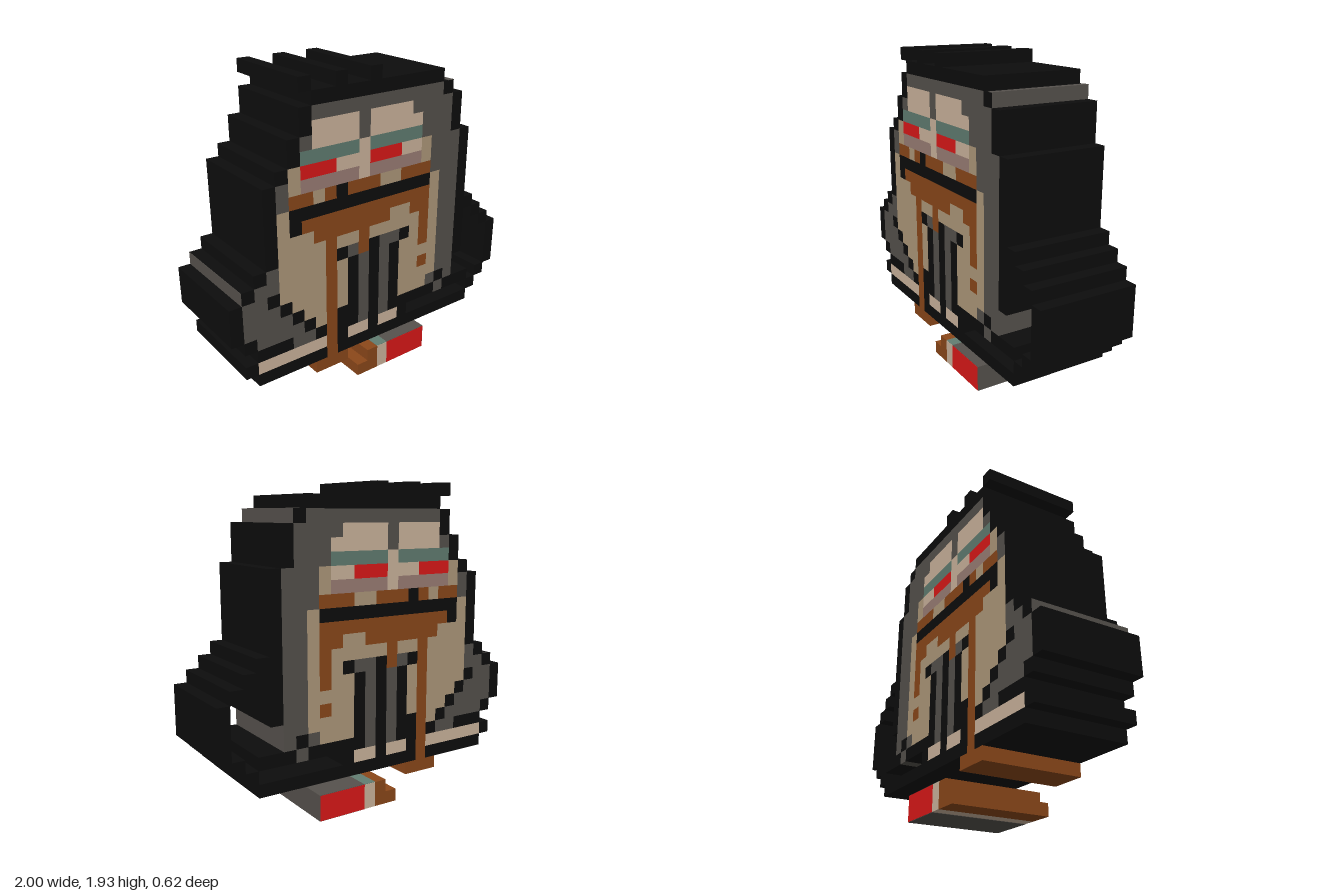
import * as THREE from 'three';
import { mergeGeometries } from 'three/addons/utils/BufferGeometryUtils.js';

const CELL = 2 / 26, DEPTH = 8 * CELL;

// One letter per block, top row first; '.' is empty.
const ROWS = [
  '......t..t..t.............',
  '.......KKKKKKKKKKKK.......',
  '......KGGGGGGGGGGGGK......',
  '......KPPPPGPPPPGGGGK.....',
  '.....KGPPPPGPPPPPGGGK.....',
  '.....KNNNNNPNNNNNGGGK.....',
  '....KTRRRPPPRRRPPTGGGK....',
  '...KGTMMMMMPMMMMMTGGGK....',
  '...KGBBTBLBBBTTBBBGGGK....',
  '...KTLLLLLLLLLLLLLTGGK....',
  '...KTLBBBBBBBBBBBBTGGK....',
  '...KTTTBBBBBBBTTBBTGGK....',
  '...KTTTTBTTBTTTTTBTGGKo...',
  '..KGTTTTBKGBKGGKTBTGGK.o..',
  '.KGGTTTTBTKGKGKTTBTGGK..o.',
  'KGGKTTTTBTKGKGKTTTTGGK...o',
  'KGGGKTTTBTKGKGKTTBTGGK...o',
  'KGGGGKTTBTKGKGKTTTTGG....o',
  '.KGGGGKTBKKGKGKTTTGKG....o',
  '..KKKGGKBKKGKGKKKKKGKKK.o.',
  '.KFFFFFFBKFFKFFK.......o..',
  '..KKKKKKBKKKKKKKKKKKKKK...',
  '.......BBB................',
  '............bprrrr........',
  '...........bbprrrr........',
];

const BLACK = 0x0d0d0d, GREY = 0x56524d, LIGHT = 0xceb69e, BROWN = 0x8c481a, RED = 0xdd1818;
const PARTS = {
  K: ['outline', BLACK], t: ['hairTufts', BLACK], o: ['tailOutline', BLACK],
  G: ['greyFur', GREY], T: ['faceAndBelly', 0xb09a7c], P: ['eyelids', LIGHT],
  N: ['eyeShadow', 0x627e72], R: ['eyes', RED], M: ['eyeBags', 0x9c7f76],
  B: ['brownDrip', BROWN], L: ['mouthLine', BLACK], F: ['feet', LIGHT],
  b: ['stickTip', BROWN], p: ['stickBand', LIGHT], r: ['stickBody', RED],
};

// Box covering columns c0..c1 and rows r0..r1 (edges, in cells)
function block(c0, c1, r0, r1, depth = DEPTH) {
  const g = new THREE.BoxGeometry((c1 - c0) * CELL, (r1 - r0) * CELL, depth);
  return g.translate(((c0 + c1) / 2 - 13) * CELL, (ROWS.length - (r0 + r1) / 2) * CELL, 0);
}

// Cover every block of one letter with as few boxes as possible
function blocksOf(letter) {
  const used = new Set(), boxes = [];
  const free = (r, c) => ROWS[r]?.[c] === letter && !used.has(r * 26 + c);
  for (let r = 0; r < ROWS.length; r++) for (let c = 0; c < 26; c++) {
    if (!free(r, c)) continue;
    let c1 = c, r1 = r;
    while (free(r, c1)) c1++;
    const rowFree = (row) => {
      for (let k = c; k < c1; k++) if (!free(row, k)) return false;
      return true;
    };
    while (rowFree(r1)) {
      for (let k = c; k < c1; k++) used.add(r1 * 26 + k);
      r1++;
    }
    boxes.push(block(c, c1, r, r1));
  }
  return mergeGeometries(boxes);
}

export function createModel() {
  const model = new THREE.Group();
  const add = (name, color, geometry) => {
    const mesh = new THREE.Mesh(geometry, new THREE.MeshStandardMaterial({ color }));
    mesh.name = name;
    model.add(mesh);
  };

  for (const [letter, [name, color]] of Object.entries(PARTS)) add(name, color, blocksOf(letter));

  // Thin skins where a block's sides differ from its front and back
  const e = 0.03, skin = DEPTH - 0.004;
  add('stickGreySides', GREY, mergeGeometries([
    block(14, 18 + e, 23 - e, 23.5, skin),
    block(14, 18 + e, 23.5, 25 + e, skin),
  ]));
  add('stickBandTop', 0x627e72, block(13, 14, 23 - e, 23.5, skin));
  add('hoodCornerSide', GREY, block(19.5, 20 + e, 2 - e, 3, skin));
  add('armSide', GREY, block(1 - e, 1.5, 14, 15, skin));
  return model;
}
